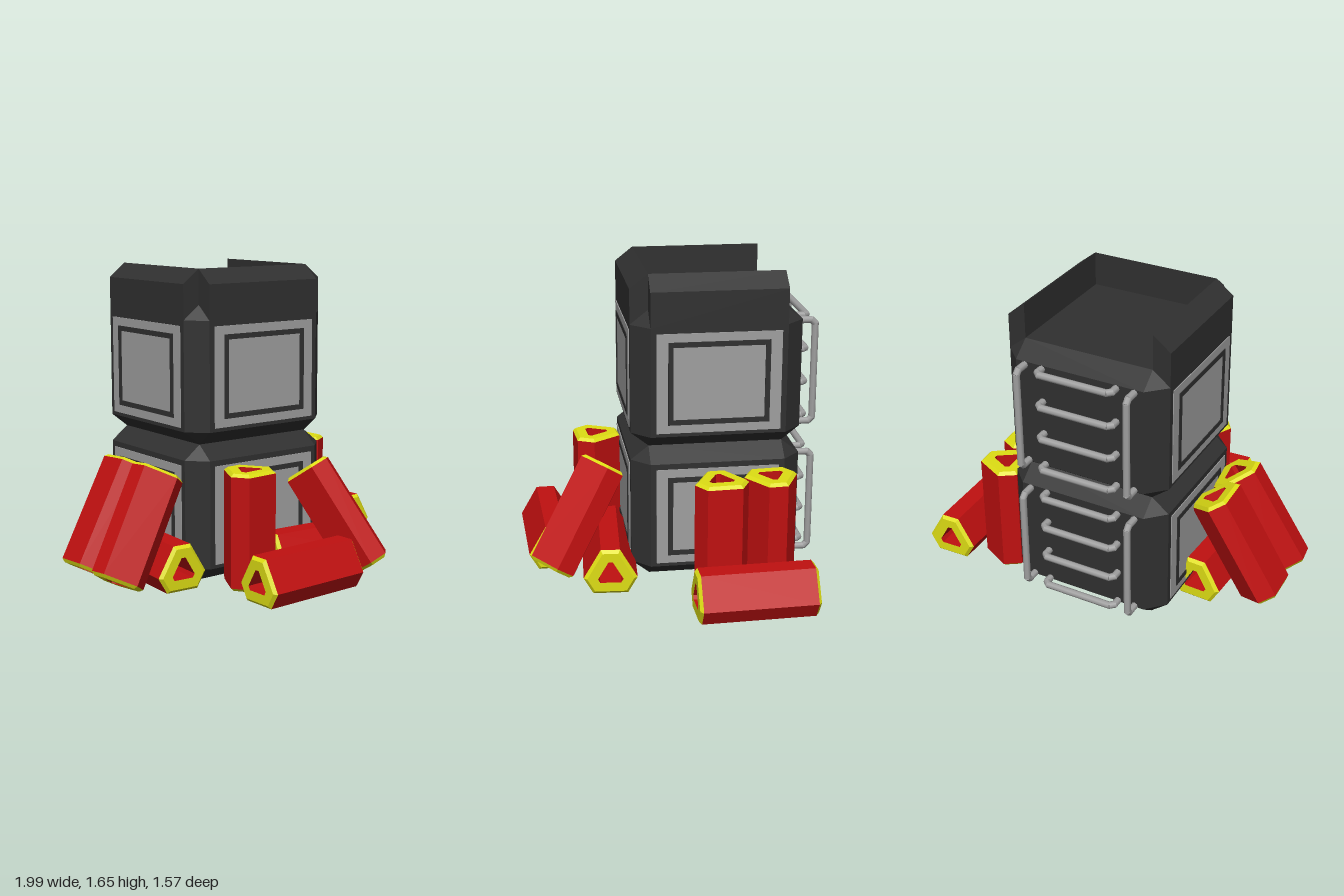
import * as THREE from 'three';
import { ConvexGeometry } from 'three/addons/geometries/ConvexGeometry.js';

const V = (x, y, z) => new THREE.Vector3(x, y, z);

export function createModel() {
  const mat = (name, color) => {
    const m = new THREE.MeshStandardMaterial({ color });
    m.name = name;
    return m;
  };
  const dark = mat('darkCasing', 0x303030);
  const grey = mat('lightGrey', 0xa0a0a0);
  const red = mat('red', 0xc01010);
  const yellow = mat('yellow', 0xdede14);

  const model = new THREE.Group();
  model.name = 'crateTower';
  const add = (parent, name, geo, material) => {
    const m = new THREE.Mesh(geo, material);
    m.name = name;
    parent.add(m);
    return m;
  };

  // ---- Tower of two stacked modules ----
  const H = 0.45, I = 0.355, MODULE = 0.73, BASE = 0.015;
  const tower = new THREE.Group();
  tower.name = 'tower';
  tower.position.set(-0.035, BASE, -0.235);
  model.add(tower);

  // box with all edges and corners cut
  const corners = [];
  for (const sx of [-1, 1]) for (const sy of [-1, 1]) for (const sz of [-1, 1]) {
    corners.push(V(sx * H, sy * 0.29, sz * I), V(sx * I, sy * 0.365, sz * I), V(sx * I, sy * 0.29, sz * H));
  }
  const casingGeo = new ConvexGeometry(corners);

  // panel and its dark outline, facing +z
  const panelGeo = new THREE.BoxGeometry(0.65, 0.53, 0.009);
  const rect = (C, w, h) => new C([[-w, -h], [w, -h], [w, h], [-w, h]].map(([x, y]) => new THREE.Vector2(x, y)));
  const outline = rect(THREE.Shape, 0.265, 0.22);
  outline.holes.push(rect(THREE.Path, 0.238, 0.193));
  const outlineGeo = new THREE.ExtrudeGeometry(outline, { depth: 0.004, bevelEnabled: false });

  // round bar made of straight pieces through the given points
  const bar = (parent, name, pts) => {
    const g = new THREE.Group();
    g.name = name;
    parent.add(g);
    for (let i = 0; i < pts.length - 1; i++) {
      const d = pts[i + 1].clone().sub(pts[i]);
      const piece = add(g, name + 'Piece', new THREE.CylinderGeometry(0.019, 0.019, d.length() + 0.008, 8), grey);
      piece.position.copy(pts[i]).addScaledVector(d, 0.5);
      piece.quaternion.setFromUnitVectors(V(0, 1, 0), d.normalize());
    }
  };

  for (let level = 0; level < 2; level++) {
    const module = new THREE.Group();
    module.name = level ? 'upperModule' : 'lowerModule';
    module.position.y = level * MODULE;
    tower.add(module);
    add(module, 'casing', casingGeo, dark).position.y = 0.365;

    // panels on front and both sides
    for (const turn of [-1, 0, 1]) {
      const side = new THREE.Group();
      side.name = 'sidePanel';
      side.rotation.y = turn * Math.PI / 2;
      module.add(side);
      add(side, 'panel', panelGeo, grey).position.set(0, 0.36, H);
      add(side, 'panelOutline', outlineGeo, dark).position.set(0, 0.36, H + 0.0045);
    }

    // ladder on the back
    const lo = 0.083, hi = 0.637, c = 0.02;
    for (const x of [-0.305, 0.305]) {
      bar(module, 'ladderRail', [V(x, lo, -0.44), V(x, lo, -0.53 + c), V(x, lo + c, -0.53),
        V(x, hi - c, -0.53), V(x, hi, -0.53 + c), V(x, hi, -0.44)]);
    }
    for (let i = 0; i < 4; i++) {
      const y = lo + (hi - lo) * i / 3, x = 0.207;
      bar(module, 'ladderRung', [V(-x, y, -0.44), V(-x, y, -0.51 + c), V(-x + c, y, -0.51),
        V(x - c, y, -0.51), V(x, y, -0.51 + c), V(x, y, -0.44)]);
    }
  }

  // parapet walls on front and both sides, open at the back
  const wallShape = new THREE.Shape([[H, 1.385], [H, 1.57], [I, 1.645], [I, 1.46]]
    .map(([x, y]) => new THREE.Vector2(x, y)));
  const wallGeo = new THREE.ExtrudeGeometry(wallShape, { depth: 2 * I, bevelEnabled: false });
  wallGeo.translate(0, 0, -I).rotateY(-Math.PI / 2);
  for (const turn of [-1, 0, 1]) add(tower, 'parapetWall', wallGeo, dark).rotation.y = turn * Math.PI / 2;

  // ---- Hollow three-sided canisters ----
  // triangle with cut corners: r = distance to long sides, d = distance to cut corners, apex at +y
  const ring = (r, d, z) => {
    const w = (r - d / 2) / Math.cos(Math.PI / 6), pts = [];
    for (let k = 0; k < 3; k++) for (const s of [1, -1]) {
      pts.push(V(s * w, d, z).applyAxisAngle(V(0, 0, 1), k * Math.PI * 2 / 3));
    }
    return pts;
  };
  const strips = (pairs) => {
    const pos = [];
    for (const [a, b] of pairs) for (let i = 0; i < 6; i++) {
      const j = (i + 1) % 6;
      for (const p of [a[i], a[j], b[j], a[i], b[j], b[i]]) pos.push(p.x, p.y, p.z);
    }
    const g = new THREE.BufferGeometry();
    g.setAttribute('position', new THREE.Float32BufferAttribute(pos, 3));
    g.computeVertexNormals();
    return g;
  };
  const L = 0.31, R = 0.1107, D = 0.1343, B = 0.016;
  const r = [ring(0.045, 0.07, -L), ring(R - B, D - B, -L), ring(R, D, -L + B),
    ring(R, D, L - B), ring(R - B, D - B, L), ring(0.045, 0.07, L)];
  const bodyGeo = strips([[r[2], r[3]], [r[5], r[0]]]);
  const capGeo = strips([[r[0], r[1]], [r[1], r[2]], [r[3], r[4]], [r[4], r[5]]]);

  // centre, axis direction, direction of the apex
  const canister = (name, centre, axis, apex) => {
    const g = new THREE.Group();
    g.name = name;
    const z = V(...axis).normalize();
    const y = V(...apex);
    y.addScaledVector(z, -y.dot(z)).normalize();
    g.quaternion.setFromRotationMatrix(new THREE.Matrix4().makeBasis(y.clone().cross(z), y, z));
    g.position.set(...centre);
    add(g, 'canisterBody', bodyGeo, red);
    add(g, 'canisterCaps', capGeo, yellow);
    model.add(g);
  };
  const up = [0, 1, 0], lie = 0.122, stand = 0.325;
  canister('lyingCanisterLeft', [0.845, lie, -0.36], [0.025, 0, 1], up);
  canister('lyingCanisterFront', [-0.103, lie, 0.628], [1, 0, -0.04], up);
  canister('lyingCanisterCorner', [0.238, lie, 0.33], [1, 0, 0.06], up);
  canister('lyingCanisterRight', [-0.56, lie, -0.075], [-0.05, 0, 1], up);
  canister('standingCanisterBack', [0.543, stand, -0.495], up, [1, 0, -0.06]);
  canister('standingCanisterLeft', [0.57, stand, -0.223], up, [-1, 0, 0.045]);
  canister('standingCanisterFront', [-0.25, stand, 0.357], up, [-0.08, 0, -1]);
  canister('leaningCanisterFront', [0.262, 0.338, 0.485], [-0.18, 0.51, -0.3], [-0.1, 0, 1]);
  canister('leaningCanisterRight', [-0.735, 0.343, 0.045], [0.3, 0.53, -0.06], [-1, 0, 0.1]);
  canister('leaningCanisterBack', [-0.738, 0.343, -0.232], [0.3, 0.53, -0.035], [1, 0, 0]);

  return model;
}
